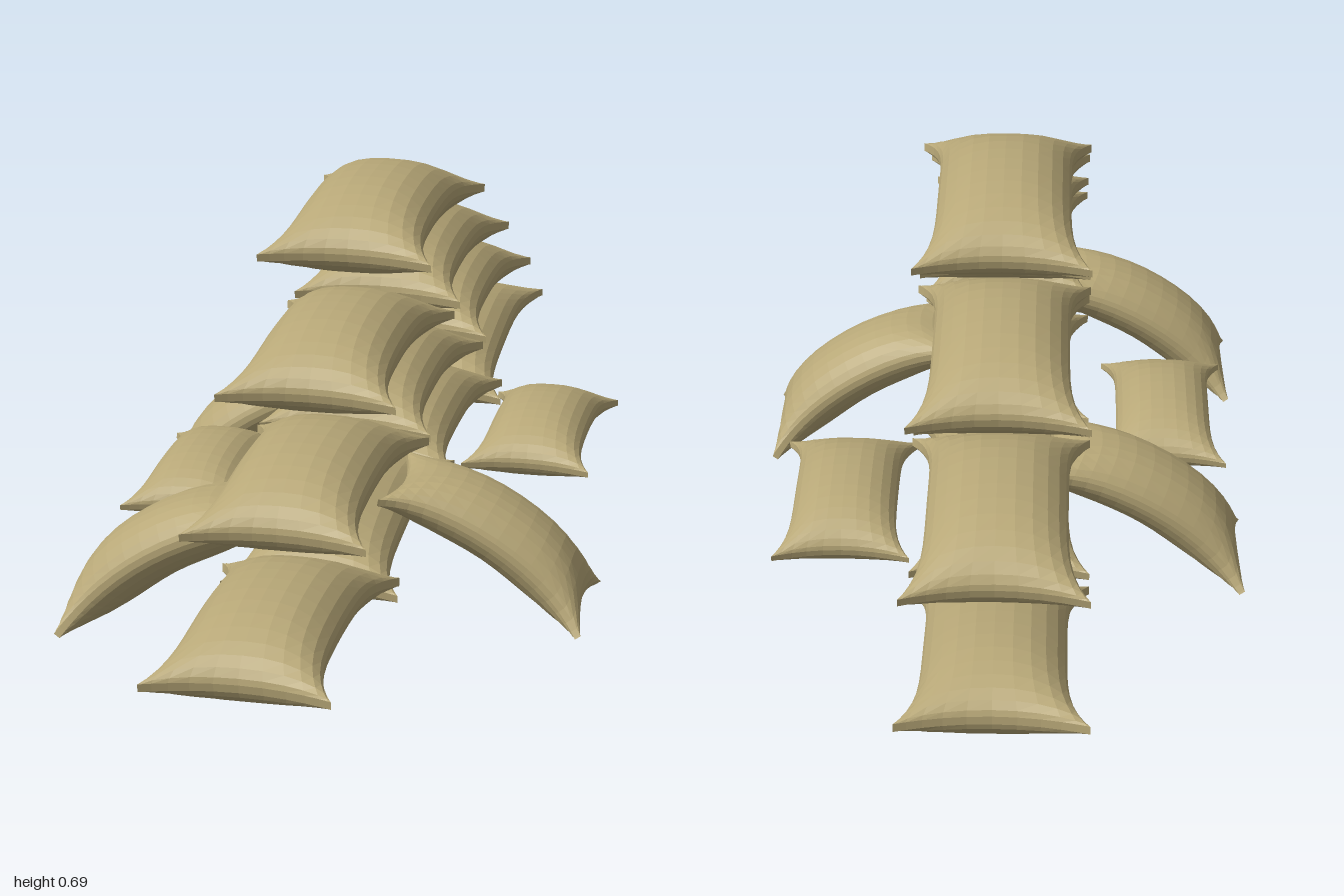
import * as THREE from 'three';

const material = new THREE.MeshStandardMaterial({ color: 0xb8a878, flatShading: true });

const HALF_LENGTH = 0.256;

// A filled sack lying along z: pinched rim, flared corners, bent downwards by `arch` at both ends.
function sackGeometry(arch) {
  const geometry = new THREE.BoxGeometry(2, 2, 2, 12, 1, 18);
  const p = geometry.attributes.position;
  for (let i = 0; i < p.count; i++) {
    // Rows crowd towards the rim, where the curvature is strongest
    const u = Math.sin(p.getX(i) * Math.PI / 2);
    const v = Math.sin(p.getZ(i) * Math.PI / 2);
    const side = Math.sign(p.getY(i));
    const bulge = Math.pow(Math.max(0, 1 - Math.abs(u) ** 2.5), 0.7)
      * Math.pow(Math.max(0, 1 - Math.abs(v) ** 3), 0.6);
    const h = side * (0.007 + (side > 0 ? 0.062 : 0.068) * bulge);
    const x = u * (0.116 + 0.036 * Math.abs(v) ** 5);
    const z = v * (HALF_LENGTH - 0.03 * (1 - u * u));
    p.setXYZ(i, x, h - arch * v * v, z + h * 2 * arch * v / HALF_LENGTH);
  }
  geometry.computeVertexNormals();
  return geometry;
}

function addSack(group, name, [x, y, z], { arch = 0.027, size = 1, tilt = 0, turn = 0 } = {}) {
  const sack = new THREE.Mesh(sackGeometry(arch), material);
  sack.name = name;
  sack.position.set(x, y, z);
  sack.rotation.set(tilt, turn, 0, 'YXZ');
  sack.scale.setScalar(size);
  group.add(sack);
}

export function createModel() {
  const model = new THREE.Group();
  model.name = 'sandbagWall';
  const cx = -0.008;

  // Upper courses of the wall: [seam height, sack centres along z]
  const courses = [
    [0.315, [0.495, -0.03, -0.575]],
    [0.47, [0.265, -0.302]],
    [0.622, [-0.028]],
  ];
  courses.forEach(([y, centres], row) =>
    centres.forEach((z, i) => addSack(model, `course${row + 2}Sack${i + 1}`, [cx, y, z])));

  // Bottom course, settled unevenly: [y, z, tilt, arch]
  [
    [0.16, 0.744, -0.02, 0.025],
    [0.142, 0.25, 0.1, 0.012],
    [0.157, -0.25, 0, 0.02],
    [0.147, -0.744, 0.13, 0.012],
  ].forEach(([y, z, tilt, arch], i) =>
    addSack(model, `bottomSack${i + 1}`, [cx, y, z], { tilt, arch }));

  // Sacks draped down the flanks: [side, y, z]
  [
    [1, 0.143, 0.243],
    [-1, 0.16, 0.455],
    [-1, 0.16, -0.24],
  ].forEach(([side, y, z], i) =>
    addSack(model, `drapedSack${i + 1}`, [side * 0.275, y, z],
      { arch: 0.05, size: 0.8, tilt: 0.56, turn: side * Math.PI / 2 }));

  // Small sacks lying beside the wall
  addSack(model, 'leftSideSack', [0.263, 0.153, -0.255], { size: 0.77 });
  addSack(model, 'rightSideSack', [-0.295, 0.148, 0.075], { size: 0.73 });

  return model;
}
